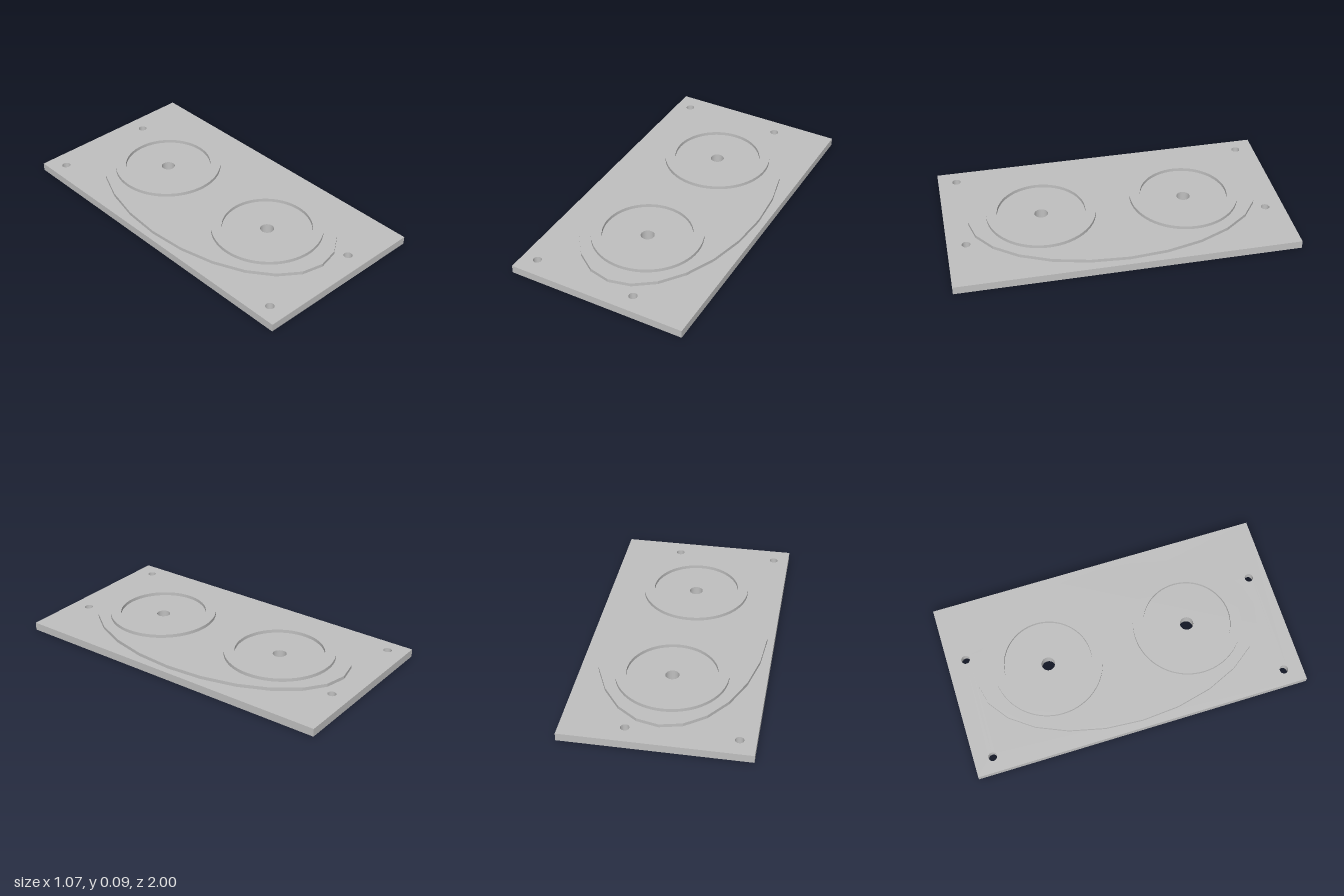
import * as THREE from 'three';
import { toCreasedNormals } from 'three/addons/utils/BufferGeometryUtils.js';

const PLATE_TOP = 0.047, PAD_TOP = 0.067, RING_TOP = 0.087;
const CENTRE_Z = 0.43;

// Points of an ellipse in plan; the shape's y becomes -z
function ellipse(x, z, rx, rz, sides) {
  return Array.from({ length: sides }, (_, i) => {
    const a = (i / sides) * Math.PI * 2;
    return new THREE.Vector2(x + rx * Math.cos(a), -z + rz * Math.sin(a));
  });
}

// Flat slab with holes, standing between two heights
function slab(name, outline, holes, bottom, top, material) {
  const shape = new THREE.Shape(outline);
  shape.holes = holes.map((points) => new THREE.Path(points));
  const geometry = new THREE.ExtrudeGeometry(shape, { depth: top - bottom, bevelEnabled: false });
  geometry.rotateX(-Math.PI / 2);
  geometry.translate(0, bottom, 0);
  const mesh = new THREE.Mesh(toCreasedNormals(geometry, 0.2), material);
  mesh.name = name;
  return mesh;
}

export function createModel() {
  const group = new THREE.Group();
  group.name = 'mountingPlate';
  const grey = new THREE.MeshStandardMaterial({ color: 0xc0c0c0 });
  grey.name = 'grey';

  const centreHoles = [-CENTRE_Z, CENTRE_Z].map((z) => ellipse(0, z, 0.04, 0.04, 40));
  const screwHoles = [];
  for (const x of [-0.44, 0.177])
    for (const z of [-0.89, 0.89]) screwHoles.push(ellipse(x, z, 0.025, 0.025, 40));

  // Rectangular base with screw holes and centre holes
  const corners = [[-1, -1], [1, -1], [1, 1], [-1, 1]].map(([x, y]) => new THREE.Vector2(x * 0.533, y));
  group.add(slab('basePlate', corners, [...centreHoles, ...screwHoles], 0, PLATE_TOP, grey));

  // Faceted oval pad
  group.add(slab('ovalPad', ellipse(0, 0, 0.492, 0.86, 24), centreHoles, PLATE_TOP, PAD_TOP, grey));

  // Raised rings around the centre holes
  for (const [name, z] of [['backRing', -CENTRE_Z], ['frontRing', CENTRE_Z]]) {
    const inner = ellipse(0, z, 0.26, 0.26, 64);
    group.add(slab(name, ellipse(0, z, 0.322, 0.322, 64), [inner], PAD_TOP, RING_TOP, grey));
  }
  return group;
}
